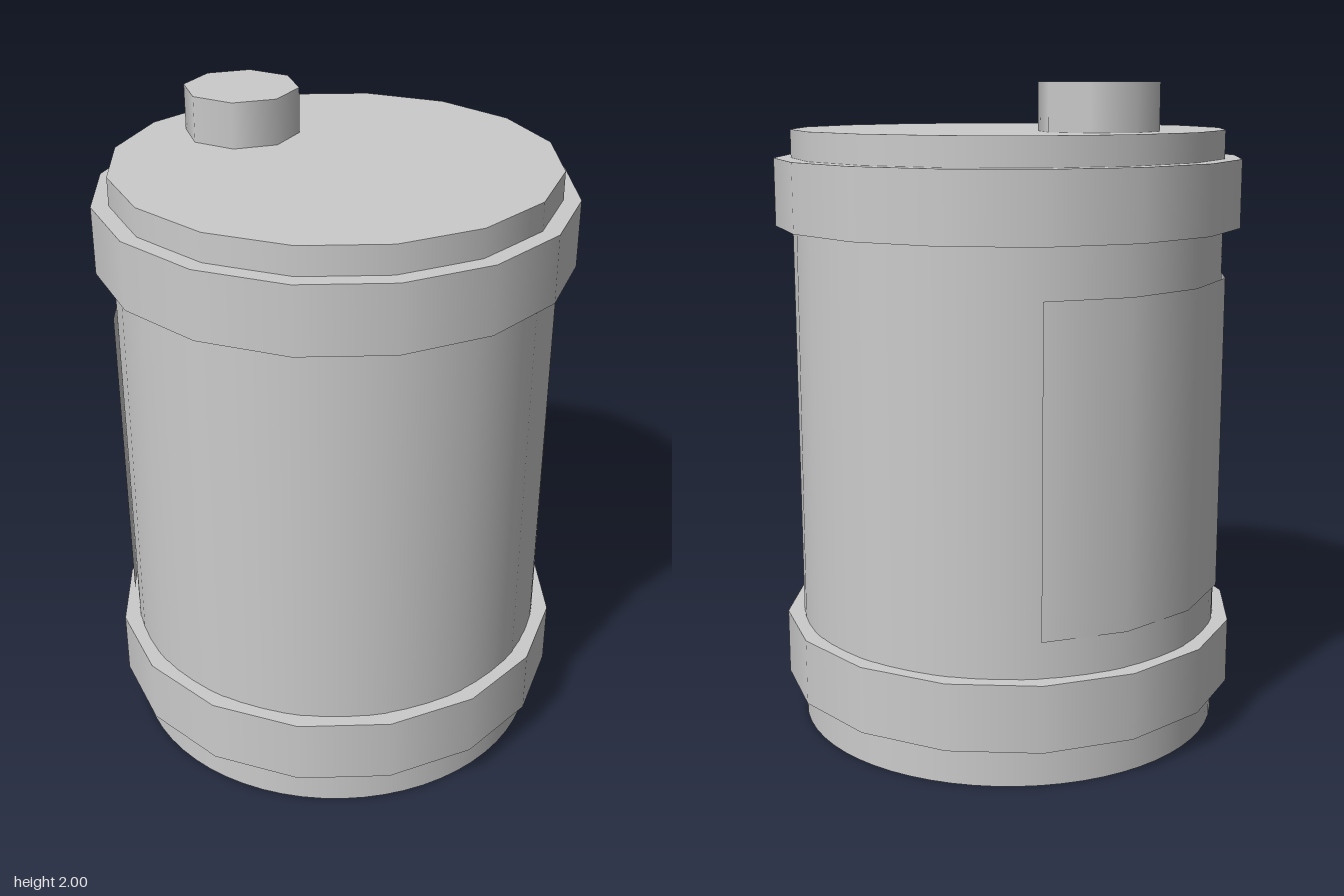
import * as THREE from 'three';

const SIDES = 16;
const STEP = (Math.PI * 2) / SIDES;
const TURN = THREE.MathUtils.degToRad(5.2); // angle of the first corner
const RADIUS = 0.666;

export function createModel() {
  const group = new THREE.Group();
  const material = new THREE.MeshStandardMaterial({ color: 0xcccccc, side: THREE.DoubleSide });

  const add = (name, geometry, x = 0, y = 0, z = 0) => {
    const mesh = new THREE.Mesh(geometry, material);
    mesh.name = name;
    mesh.position.set(x, y, z);
    group.add(mesh);
    return mesh;
  };

  // Body: open below, round at the foot and sixteen-sided at the top
  const height = 1.86;
  const body = new THREE.CylinderGeometry(RADIUS, RADIUS, height, SIDES * 4, 1, true, TURN);
  const pos = body.attributes.position;
  for (let i = 0; i < pos.count; i++) {
    if (pos.getY(i) < 0) continue;
    const angle = Math.atan2(pos.getX(i), pos.getZ(i)) - TURN;
    const local = THREE.MathUtils.euclideanModulo(angle, STEP) - STEP / 2;
    const k = Math.cos(STEP / 2) / Math.cos(local);
    pos.setX(i, pos.getX(i) * k);
    pos.setZ(i, pos.getZ(i) * k);
  }
  add('body', body, 0, height / 2, 0);

  // Lid: flat sixteen-sided disc
  const lid = new THREE.CircleGeometry(RADIUS, SIDES);
  lid.rotateX(-Math.PI / 2);
  lid.rotateY(Math.PI / 2 + TURN);
  add('lid', lid, 0, height, 0);

  // Bands: outer wall with flat rims above and below
  const outer = 0.718;
  const rim = (inner, up) => {
    const g = new THREE.RingGeometry(inner, outer, SIDES, 1);
    g.rotateX(up ? -Math.PI / 2 : Math.PI / 2);
    g.rotateY(Math.PI / 2 + TURN);
    return g;
  };
  for (const [name, bottom] of [['lowerBand', 0.125], ['upperBand', 1.57]]) {
    const h = 0.205;
    add(name, new THREE.CylinderGeometry(outer, outer, h, SIDES, 1, true, TURN), 0, bottom + h / 2, 0);
    add(name + 'TopRim', rim(0.635, true), 0, bottom + h, 0);
    add(name + 'BottomRim', rim(RADIUS - 0.005, false), 0, bottom, 0);
  }

  // Side panel: thin curved plate over four facets
  const panel = new THREE.CylinderGeometry(0.678, 0.678, 0.975, 4, 1, true, TURN - STEP * 6, STEP * 4);
  add('sidePanel', panel, 0, 0.932, 0);

  // Cap: eight-sided bung standing on the lid
  const cap = new THREE.CylinderGeometry(0.177, 0.177, 0.14, 8, 1, false, THREE.MathUtils.degToRad(31));
  add('cap', cap, -0.388, 1.93, -0.042);

  return group;
}
